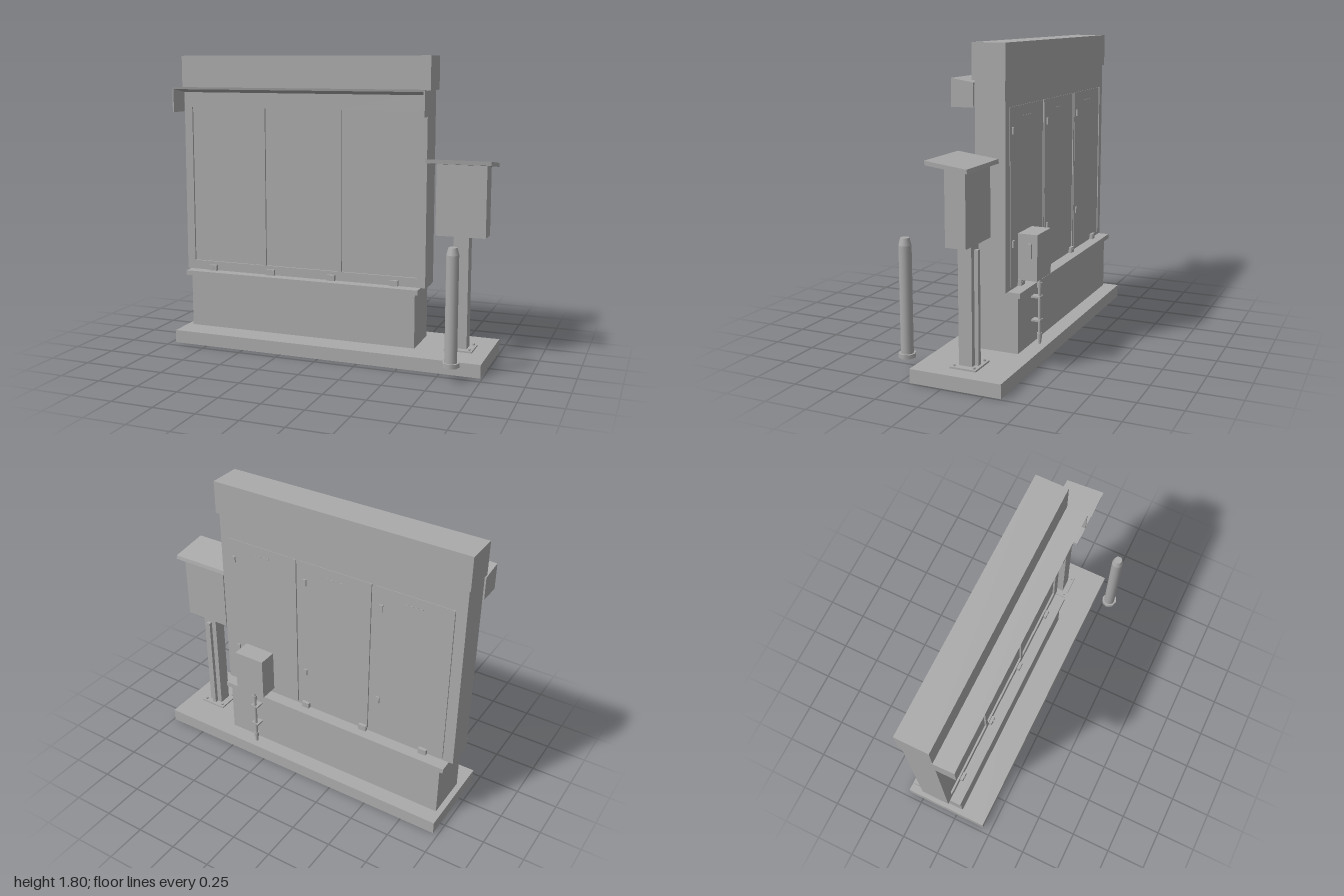
import * as THREE from 'three';

const steel = new THREE.MeshStandardMaterial({ color: 0xaaaaaa });
steel.name = 'grey steel';
const sheet = steel;
sheet.side = THREE.DoubleSide;

export function createModel() {
  const model = new THREE.Group();

  const add = (name, geometry, parent = model) => {
    const mesh = new THREE.Mesh(geometry, steel);
    mesh.name = name;
    parent.add(mesh);
    return mesh;
  };
  // Box given by its limits on each axis
  const box = (name, x0, x1, y0, y1, z0, z1, parent) => {
    const mesh = add(name, new THREE.BoxGeometry(x1 - x0, y1 - y0, z1 - z0), parent);
    mesh.position.set((x0 + x1) / 2, (y0 + y1) / 2, (z0 + z1) / 2);
    return mesh;
  };
  const rod = (name, x, z, y0, y1, r, sides = 12) => {
    const mesh = add(name, new THREE.CylinderGeometry(r, r, y1 - y0, sides));
    mesh.position.set(x, (y0 + y1) / 2, z);
    return mesh;
  };
  // Side profile of [z, y] points, extruded along x
  const profile = (name, points, x0, x1) => {
    const shape = new THREE.Shape(points.map(([z, y]) => new THREE.Vector2(-z, y)));
    const geometry = new THREE.ExtrudeGeometry(shape, { depth: x1 - x0, bevelEnabled: false });
    geometry.rotateY(Math.PI / 2).translate(x0, 0, 0);
    return add(name, geometry);
  };

  // Base slab, open underneath
  const slab = box('baseSlab', -0.97, 0.99, 0, 0.08, -0.345, 0.195);
  const index = Array.from(slab.geometry.index.array);
  index.splice(18, 6);
  slab.geometry.setIndex(index);
  slab.geometry.clearGroups();

  // Plinth and its ledge
  box('plinth', -0.935, 0.553, 0.08, 0.41, -0.25, 0.03);
  box('plinthLedge', -0.965, 0.575, 0.41, 0.44, -0.272, 0.052);

  // Main cabinet, with a front frame around three recessed panels
  box('cabinetBody', -0.99, 0.602, 0.44, 1.605, -0.198, -0.03);
  const frame = new THREE.Shape();
  const rect = (path, x0, x1, y0, y1) =>
    path.moveTo(x0, y0).lineTo(x1, y0).lineTo(x1, y1).lineTo(x0, y1).closePath();
  rect(frame, -0.99, 0.602, 0.44, 1.605);
  for (const [x0, x1] of [[-0.937, -0.454], [-0.433, 0.047], [0.072, 0.553]]) {
    const hole = new THREE.Path();
    rect(hole, x0, x1, 0.497, 1.484);
    frame.holes.push(hole);
  }
  add('frontFrame', new THREE.ExtrudeGeometry(frame, { depth: 0.012, bevelEnabled: false }))
    .position.z = -0.03;
  box('topCap', -1, 0.62, 1.605, 1.805, -0.208, -0.01);

  // Visor above the front panels
  profile('visorTop', [[-0.018, 1.578], [0.112, 1.6], [0.115, 1.613], [-0.018, 1.592]], -1, 0.62);
  const cheek = [[-0.018, 1.457], [0.115, 1.457], [0.115, 1.605], [-0.018, 1.58]];
  profile('visorCheekRight', cheek, -1, -0.992);
  profile('visorCheekLeft', cheek, 0.612, 0.62);

  // Hold-down brackets along both long sides
  for (const x of [-0.8, -0.397, 0.008, 0.412]) {
    for (const [z0, z1, zb] of [[-0.02, 0, 0], [-0.22, -0.196, -0.22]]) {
      box('bracket', x - 0.025, x + 0.025, 0.44, 0.475, z0, z1);
      const bolt = rod('bracketBolt', x, zb, 0.456, 0.462, 0.008, 6);
      bolt.rotation.x = Math.PI / 2;
    }
  }

  // Rear doors with edge strips, handles and vent slits
  for (const [x0, x1] of [[0.075, 0.545], [-0.42, 0.045], [-0.92, -0.455]]) {
    box('rearDoor', x0, x1, 0.46, 1.46, -0.201, -0.196);
    box('rearDoorStrip', x0 - 0.006, x0 + 0.006, 0.46, 1.46, -0.207, -0.196);
    for (const y of [0.7, 1.33]) {
      box('rearDoorHandle', x1 - 0.045, x1 - 0.023, y - 0.02, y + 0.02, -0.21, -0.2);
    }
    for (let i = 0; i < 4; i++) {
      const x = (x0 + x1) / 2 - 0.045 + i * 0.03;
      box('ventSlit', x - 0.008, x + 0.008, 1.398, 1.402, -0.204, -0.2);
    }
  }

  // Small rear box fed by a conduit
  box('rearBox', 0.25, 0.45, 0.48, 0.747, -0.322, -0.205);
  box('rearBoxHandle', 0.45, 0.464, 0.61, 0.695, -0.29, -0.267);
  rod('conduit', 0.34, -0.293, 0.08, 0.48, 0.01);
  for (const y of [0.13, 0.43]) rod('conduitCoupling', 0.34, -0.293, y - 0.015, y + 0.015, 0.015);
  for (const y of [0.22, 0.36]) box('conduitClamp', 0.315, 0.365, y - 0.005, y + 0.005, -0.305, -0.25);

  // Side control box on its post
  box('postFoot', 0.725, 0.895, 0.08, 0.09, -0.155, 0.003);
  for (const x of [0.745, 0.875]) {
    for (const z of [-0.135, -0.017]) rod('footBolt', x, z, 0.09, 0.1, 0.008, 6);
  }
  box('post', 0.765, 0.855, 0.09, 0.77, -0.115, -0.035);
  box('postCableChannel', 0.797, 0.823, 0.09, 0.73, -0.138, -0.115);
  profile('controlBox', [[-0.135, 0.763], [-0.015, 0.763], [-0.015, 1.19], [-0.135, 1.175]], 0.66, 0.957);
  profile('controlBoxRoof', [[-0.167, 1.165], [0.075, 1.195], [0.078, 1.219], [-0.163, 1.188]], 0.617, 0.997);

  // Free-standing bollard
  const bollard = new THREE.Group();
  bollard.name = 'bollard';
  bollard.position.set(0.84, 0, 0.293);
  model.add(bollard);
  const tube = (name, y0, y1, r0, r1, sides) => {
    add(name, new THREE.CylinderGeometry(r1, r0, y1 - y0, sides), bollard).position.y = (y0 + y1) / 2;
  };
  tube('bollardFoot', 0.083, 0.108, 0.05, 0.05, 8);
  tube('bollardShaft', 0.108, 0.72, 0.036, 0.036, 16);
  tube('bollardTip', 0.72, 0.762, 0.036, 0.025, 16);

  return model;
}
